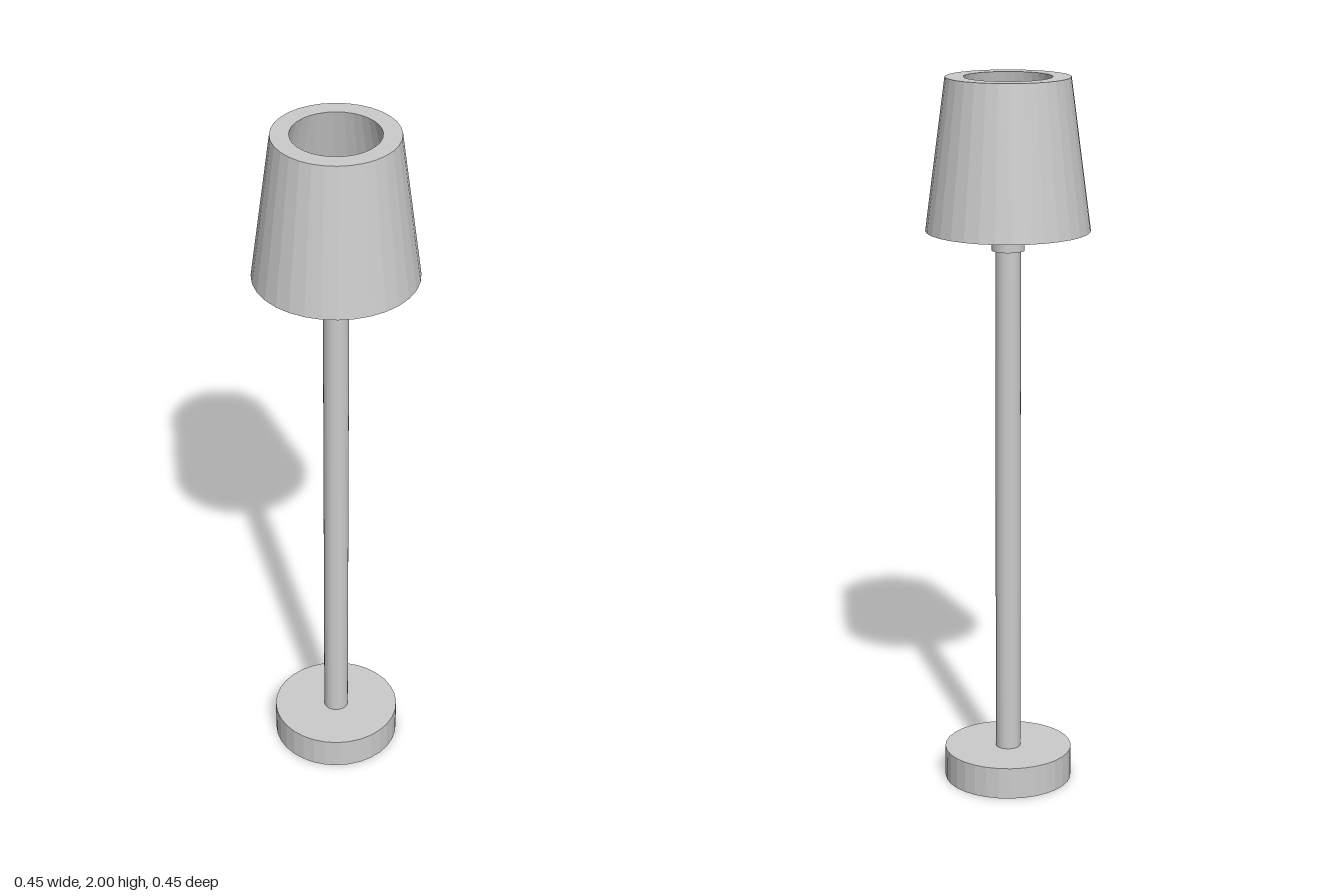
import * as THREE from 'three';

const SIDES = 32;

export function createModel() {
  const lamp = new THREE.Group();
  lamp.name = 'floorLamp';
  const material = new THREE.MeshStandardMaterial({ color: 0xcccccc, flatShading: true });

  const add = (name, geometry) => {
    const mesh = new THREE.Mesh(geometry, material);
    mesh.name = name;
    lamp.add(mesh);
    return mesh;
  };

  // Upright solid cylinder between two heights
  const post = (name, radius, bottom, top) => {
    const mesh = add(name, new THREE.CylinderGeometry(radius, radius, top - bottom, SIDES));
    mesh.position.y = (bottom + top) / 2;
  };

  post('base', 0.18, 0, 0.09);
  post('pole', 0.035, 0.09, 1.53);
  post('poleCap', 0.045, 1.53, 1.575);
  post('shadeRod', 0.009, 1.575, 1.8);

  // Hollow tapered shade: narrow bottom rim, thick top rim around the opening
  const profile = [
    [0.217, 1.585], [0.225, 1.585], [0.17, 2], [0.12, 2], [0.217, 1.585],
  ].map(([r, y]) => new THREE.Vector2(r, y));
  add('shade', new THREE.LatheGeometry(profile, SIDES));

  return lamp;
}
